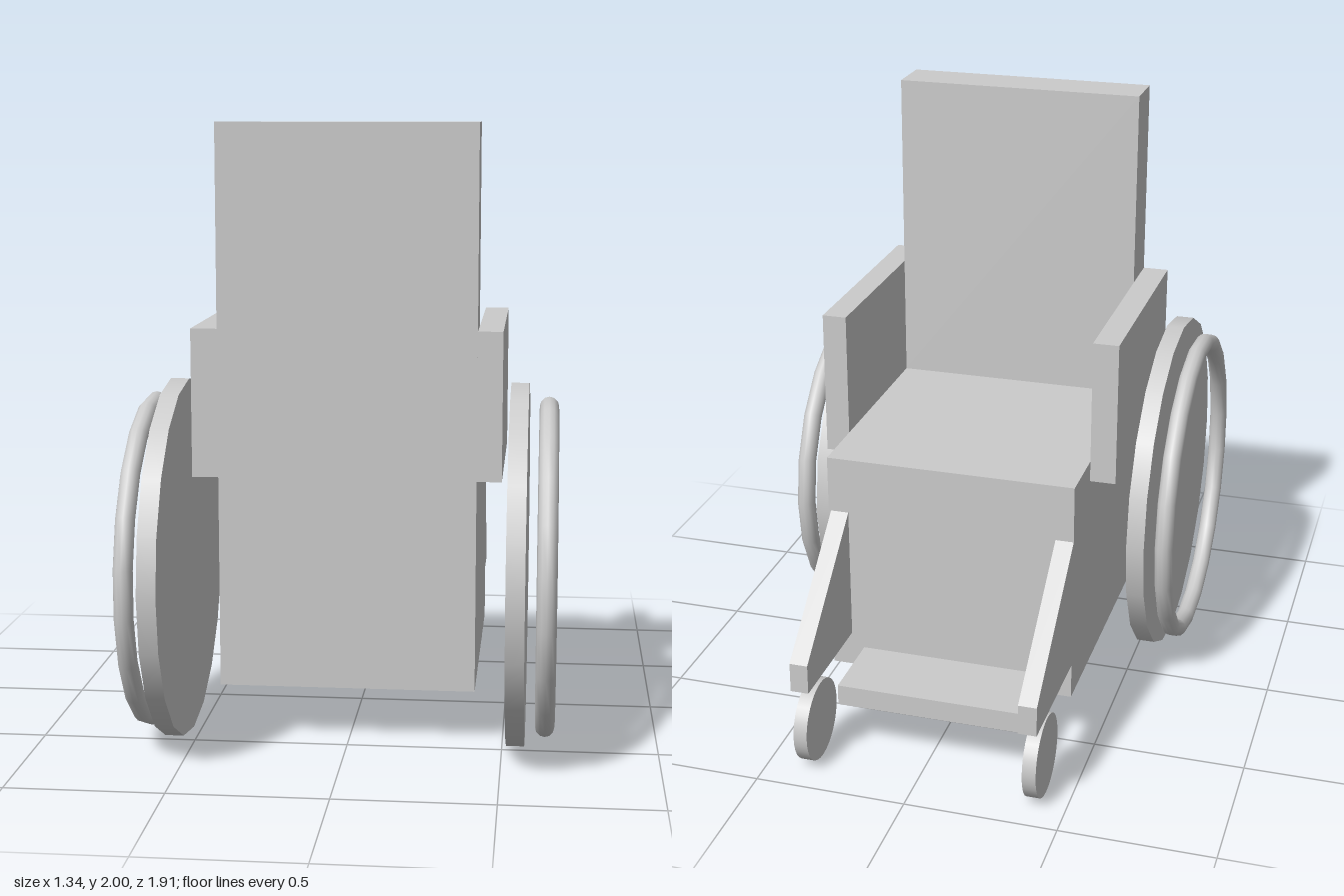
import * as THREE from 'three';

const flat = new THREE.MeshStandardMaterial({ color: 0xcccccc, flatShading: true });
const smooth = new THREE.MeshStandardMaterial({ color: 0xcccccc });

// Box given by its extents along each axis
function box(name, [x0, x1], [y0, y1], [z0, z1]) {
  const mesh = new THREE.Mesh(new THREE.BoxGeometry(x1 - x0, y1 - y0, z1 - z0), flat);
  mesh.position.set((x0 + x1) / 2, (y0 + y1) / 2, (z0 + z1) / 2);
  mesh.name = name;
  return mesh;
}

// Side profile of [z, y] points extruded from x0 to x1
function sidePlate(name, points, x0, x1) {
  const shape = new THREE.Shape(points.map(([z, y]) => new THREE.Vector2(-z, y)));
  const geo = new THREE.ExtrudeGeometry(shape, { depth: x1 - x0, bevelEnabled: false });
  geo.rotateY(Math.PI / 2);
  geo.translate(x0, 0, 0);
  const mesh = new THREE.Mesh(geo, flat);
  mesh.name = name;
  return mesh;
}

// Disc with its axle along x
function disc(name, radius, sides, x0, x1, y, z) {
  const geo = new THREE.CylinderGeometry(radius, radius, x1 - x0, sides);
  geo.rotateZ(Math.PI / 2);
  const mesh = new THREE.Mesh(geo, smooth);
  mesh.position.set((x0 + x1) / 2, y, z);
  mesh.name = name;
  return mesh;
}

export function createModel() {
  const group = new THREE.Group();
  group.name = 'wheelchair';

  // Solid seat block and tall backrest in one L-shaped piece
  group.add(sidePlate('seatAndBackrest', [
    [0.46, 0.18], [-0.515, 0.18], [-0.515, 0.94], [0.295, 0.94], [0.295, 2], [0.46, 2],
  ], -0.42, 0.41));

  // Footrest board
  group.add(box('footrest', [-0.315, 0.3], [0.18, 0.25], [-0.77, -0.515]));

  // Parts on each side, with the slight offsets between left and right
  const sides = [
    { name: 'right', arm: [-0.505, -0.42], leg: [-0.42, -0.36], legEnd: -0.955, caster: [-0.415, -0.37], wheel: [-0.588, -0.528], rim: -0.643 },
    { name: 'left', arm: [0.41, 0.49], leg: [0.342, 0.402], legEnd: -0.92, caster: [0.345, 0.39], wheel: [0.515, 0.573], rim: 0.637 },
  ];
  for (const s of sides) {
    group.add(box(s.name + 'Armrest', s.arm, [0.87, 1.35], [-0.305, 0.46]));
    group.add(sidePlate(s.name + 'LegSupport', [
      [-0.515, 0.3], [s.legEnd, 0.3], [s.legEnd, 0.4], [-0.515, 0.75],
    ], ...s.leg));
    group.add(disc(s.name + 'Caster', 0.136, 32, ...s.caster, 0.138, -0.807));
    group.add(disc(s.name + 'Wheel', 0.587, 20, ...s.wheel, 0.59, 0.367));

    // Hand rim standing off the wheel
    const rim = new THREE.Mesh(new THREE.TorusGeometry(0.518, 0.031, 12, 21), smooth);
    rim.rotation.y = Math.PI / 2;
    rim.position.set(s.rim, 0.58, 0.366);
    rim.name = s.name + 'HandRim';
    group.add(rim);
  }
  return group;
}
